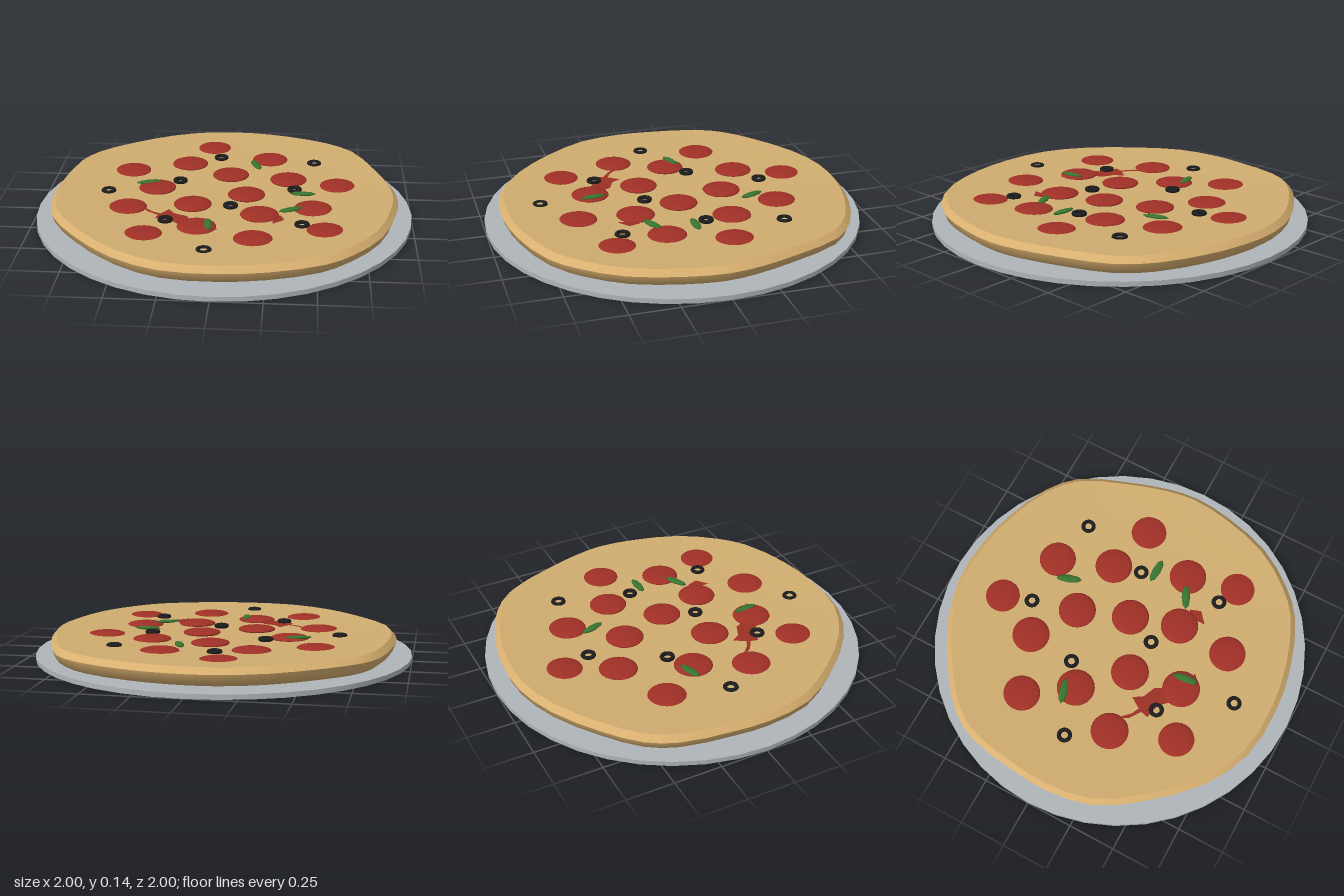
import * as THREE from 'three';

const mat = (name, color) => Object.assign(new THREE.MeshStandardMaterial({ color }), { name });

// Irregular hand-stretched outline (x, z), clockwise from the back
const outline = new THREE.CatmullRomCurve3([
  [-.13, -.925], [.11, -.925], [.33, -.88], [.57, -.78], [.72, -.65], [.83, -.4], [.9, -.18], [.925, -.01],
  [.9, .2], [.82, .46], [.68, .66], [.54, .78], [.27, .88], [.02, .915], [-.26, .89], [-.5, .765],
  [-.72, .54], [-.87, .31], [-.915, .06], [-.905, -.13], [-.86, -.4], [-.78, -.55], [-.61, -.7], [-.37, -.85],
].map(([x, z]) => new THREE.Vector3(x, 0, z)), true).getPoints(48).slice(0, 48);

// Height of the slightly dished top, t = 0 at the centre and 1 at the rim
const dish = t => 0.108 + 0.022 * t * t;

// Skin of rings, each [scale of the outline, height]
function loft(rings) {
  const pos = [], idx = [], n = outline.length;
  rings.forEach(([s, y]) => outline.forEach(p => pos.push(p.x * s, y, p.z * s)));
  for (let i = 0; i < rings.length - 1; i++) {
    for (let j = 0; j < n; j++) {
      const k = (j + 1) % n, a = i * n + j, b = i * n + k;
      idx.push(a, a + n, b, b, a + n, b + n);
    }
  }
  const g = new THREE.BufferGeometry();
  g.setAttribute('position', new THREE.Float32BufferAttribute(pos, 3));
  g.setIndex(idx);
  g.computeVertexNormals();
  return g;
}

export function createModel() {
  const root = new THREE.Group();
  root.name = 'pizza';
  const tin = mat('tin grey', 0xb0b5ba), dough = mat('baked dough', 0xd9b070), cheese = mat('cheese', 0xd0ad70);
  const meat = mat('pepperoni red', 0xa03026), black = mat('olive black', 0x1c1c1c);
  const green = mat('basil green', 0x37752e), red = mat('sauce red', 0x9c3024);
  const add = (name, geo, m, x = 0, y = 0, z = 0) => {
    const mesh = new THREE.Mesh(geo, m);
    mesh.name = name;
    mesh.position.set(x, y, z);
    root.add(mesh);
    return mesh;
  };

  // Serving plate
  add('plate', new THREE.CylinderGeometry(1, 1, 0.025, 40), tin, 0, 0.0125, 0);

  // Crust wall, bevelled rim and cheese top
  add('crustWall', loft([[.9, .026], [.95, .036], [.985, .06], [1, .1]]), dough);
  add('crustRim', loft([[1, .1], [.97, .13]]), dough);
  add('cheeseTop', loft([1, .85, .7, .55, .4, .25, .1, 0].map(t => [.97 * t, dish(t)])), cheese);

  // Sauce showing through, laid just over the cheese
  [
    [[-.41, .2], [-.35, .26], [-.31, .28], [-.27, .22], [-.24, .27], [-.17, .3], [-.12, .4], [-.2, .41], [-.25, .36], [-.33, .34], [-.32, .3], [-.38, .26]],
    [[.22, .33], [.31, .26], [.33, .32], [.27, .37], [.27, .33]],
    [[-.04, .44], [0, .45], [-.03, .48]],
    [[.47, .37], [.53, .35], [.5, .4]],
  ].forEach(points => {
    const g = new THREE.ShapeGeometry(new THREE.Shape(points.map(([x, z]) => new THREE.Vector2(x, -z))));
    g.rotateX(-Math.PI / 2);
    const p = g.attributes.position;
    for (let i = 0; i < p.count; i++) p.setY(i, dish(Math.hypot(p.getX(i), p.getZ(i)) / .88) + .002);
    add('saucePatch', g, red).material.side = THREE.DoubleSide;
  });

  // Pepperoni: flattened rounds half sunk in the cheese
  const slice = new THREE.SphereGeometry(1, 28, 14).scale(.1, .017, .1);
  [
    [-.1, -.67], [.23, -.51], [-.22, -.42], [-.53, -.3], [.02, -.27], [.34, -.22], [.61, -.145], [-.365, -.065],
    [.12, 0], [-.49, .205], [-.155, .145], [.475, .165], [.2, .255], [-.11, .425], [-.37, .535], [.18, .555], [.54, .44],
  ].forEach(([x, z]) => add('pepperoni', slice, meat, x, .1145, z));

  // Olive rings
  const ring = new THREE.TorusGeometry(.029, .011, 8, 20).rotateX(Math.PI / 2);
  [
    [-.05, -.51], [.48, -.455], [-.25, -.155], [.375, -.07], [-.62, .01], [.045, .165], [-.275, .365], [.42, .38], [-.05, .705],
  ].forEach(([x, z]) => add('oliveRing', ring, black, x, .121, z));

  // Basil leaves: centre and direction
  const leaf = new THREE.SphereGeometry(1, 8, 6).scale(.07, .009, .023);
  [
    [.155, -.395, .05, .13], [-.415, -.11, .13, -.04], [.42, 0, 1, 0], [.36, .21, .12, -.06], [-.053, .42, .015, .13],
  ].forEach(([x, z, dx, dz]) => {
    add('basilLeaf', leaf, green, x, .127, z).rotation.y = Math.atan2(-dz, dx);
  });
  return root;
}
